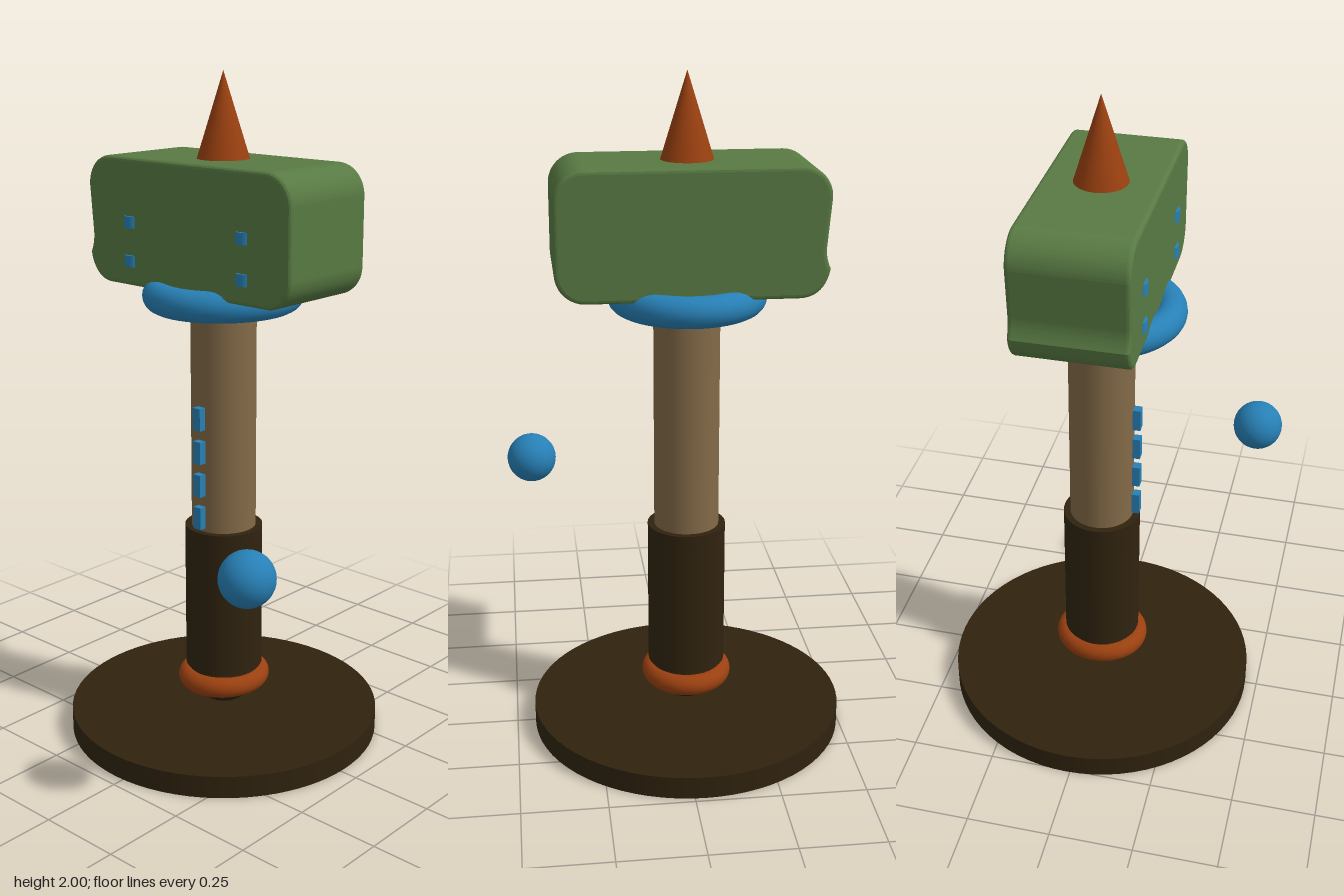
import * as THREE from 'three';

const material = (name, color) => {
  const m = new THREE.MeshStandardMaterial({ color });
  m.name = name;
  return m;
};

export function createModel() {
  const green = material('green', 0x587a43);
  const blue = material('blue', 0x2780b6);
  const rust = material('rust', 0x9a4010);
  const wood = material('wood', 0x836a48);
  const darkWood = material('dark wood', 0x30230f);

  const model = new THREE.Group();
  model.name = 'hammer';
  // Everything but the loose ball is centred on the hammer's axis
  const hammer = new THREE.Group();
  hammer.name = 'standingHammer';
  hammer.position.set(-0.031, 0, -0.011);
  model.add(hammer);

  const add = (name, geometry, mat, x = 0, y = 0, z = 0) => {
    const mesh = new THREE.Mesh(geometry, mat);
    mesh.name = name;
    mesh.position.set(x, y, z);
    hammer.add(mesh);
    return mesh;
  };
  const post = (name, r, y0, y1, mat, sides = 48) =>
    add(name, new THREE.CylinderGeometry(r, r, y1 - y0, sides), mat, 0, (y0 + y1) / 2);
  const ring = (name, outerX, outerZ, tube, y, mat) => {
    const geometry = new THREE.TorusGeometry(outerZ - tube, tube, 20, 64).rotateX(Math.PI / 2);
    add(name, geometry, mat, 0, y).scale.x = outerX / outerZ;
  };

  // Base, pommel and handle
  post('base', 0.475, 0, 0.068, darkWood, 72);
  add('pommel', new THREE.SphereGeometry(0.11, 32, 20), darkWood, 0, 0.184);
  ring('pommelRing', 0.137, 0.145, 0.032, 0.163, rust);
  post('grip', 0.117, 0.205, 0.66, darkWood);
  post('shaft', 0.097, 0.64, 1.42, wood);
  ring('collar', 0.23, 0.242, 0.045, 1.368, blue);

  // Studs up the front of the shaft
  for (let i = 0; i < 4; i++) {
    add('shaftStud', new THREE.BoxGeometry(0.028, 0.068, 0.03), blue, 0, 0.706 + i * 0.102, 0.104);
  }

  // Head: rounded block with a shallow dent in one striking face
  const b = 0.012;
  const left = -0.384 + b, right = 0.384 - b, bottom = 1.387 + b, top = 1.757 - b;
  const c = 0.075;
  const s = new THREE.Shape();
  s.moveTo(left + c, bottom);
  s.lineTo(right - c, bottom);
  s.absarc(right - c, bottom + c, c, -Math.PI / 2, 0);
  s.lineTo(right, top - c);
  s.absarc(right - c, top - c, c, 0, Math.PI / 2);
  s.lineTo(left + c, top);
  s.absarc(left + c, top - c, c, Math.PI / 2, Math.PI);
  s.lineTo(left + 0.012, 1.53);
  s.quadraticCurveTo(left + 0.014, 1.5, left, 1.468);
  s.bezierCurveTo(left + 0.008, bottom + 0.03, left + 0.03, bottom, left + c, bottom);
  const depth = 0.327;
  const head = new THREE.ExtrudeGeometry(s, {
    depth: depth - 2 * b, bevelSize: b, bevelThickness: b, bevelSegments: 3, curveSegments: 10,
  });
  add('head', head, green, 0, 0, -0.161 + b);

  // Rivets on the front of the head
  for (const x of [-0.215, 0.215]) {
    for (const y of [1.46, 1.573]) {
      add('headRivet', new THREE.CylinderGeometry(0.028, 0.028, 0.034, 20), blue, x, y, 0.148);
    }
  }

  // Spike on top
  add('spike', new THREE.ConeGeometry(0.076, 0.245, 32), rust, 0, 1.8775);

  // Loose ball floating in front
  const ball = new THREE.Mesh(new THREE.SphereGeometry(0.078, 32, 20), blue);
  ball.name = 'floatingBall';
  ball.position.set(0.424, 0.732, 0.4);
  model.add(ball);

  return model;
}
